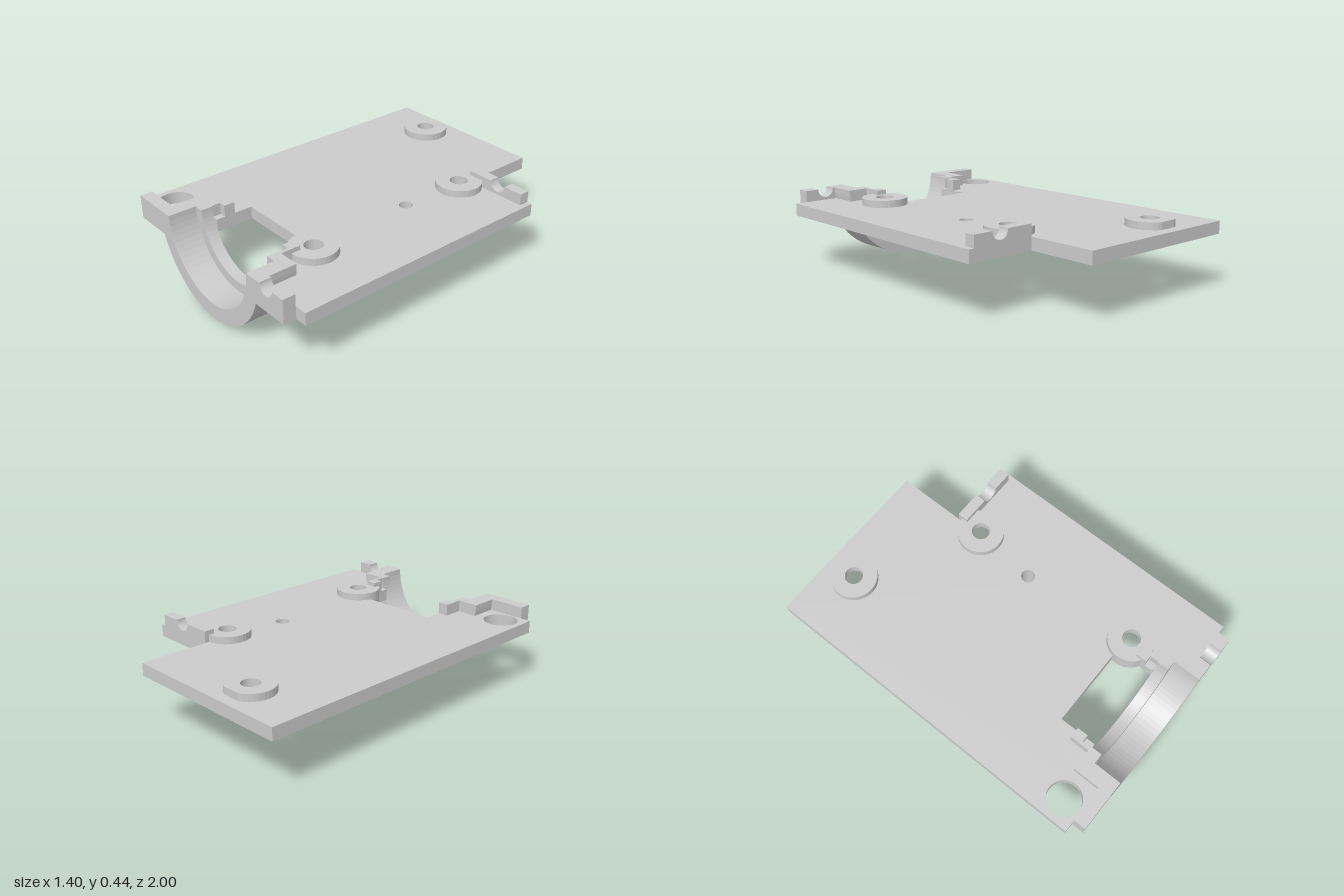
import * as THREE from 'three';

const TOP = 0.37, BASE = 0.30, RIM = 0.435;
const mat = new THREE.MeshStandardMaterial({ color: 0xcccccc, flatShading: true });

export function createModel() {
  const group = new THREE.Group();
  const add = (name, geo) => {
    const mesh = new THREE.Mesh(geo, mat);
    mesh.name = name;
    group.add(mesh);
    return mesh;
  };
  const polygon = (pts) => new THREE.Shape(pts.map(([x, y]) => new THREE.Vector2(x, y)));
  const circle = (x, y, r) => new THREE.Path().absarc(x, y, r, 0, Math.PI * 2, false);
  // outline in (x, z), extruded between two heights
  const slab = (shape, y0, y1) =>
    new THREE.ExtrudeGeometry(shape, { depth: y1 - y0, bevelEnabled: false, curveSegments: 32 })
      .rotateX(Math.PI / 2).translate(0, y1, 0);
  // outline in (x, y), extruded between two depths
  const wall = (shape, z0, z1) =>
    new THREE.ExtrudeGeometry(shape, { depth: z1 - z0, bevelEnabled: false, curveSegments: 18 })
      .translate(0, 0, z0);
  const lathe = (pts) => new THREE.LatheGeometry(pts.map(([r, y]) => new THREE.Vector2(r, y)), 32);

  // base plate with the rear corner notch, front opening and holes
  const plate = new THREE.Shape();
  plate.moveTo(-0.7, -1);
  plate.lineTo(0.3, -1);
  plate.lineTo(0.3, -0.605);
  plate.lineTo(0.7, -0.605);
  plate.lineTo(0.7, 0.925);
  plate.lineTo(0.415, 0.925);
  plate.lineTo(0.415, 0.77);
  plate.lineTo(0.255, 0.77);
  plate.lineTo(0.255, 0.681);
  plate.absarc(0.32, 0.58, 0.12, 2.143, -2.932, true); // seat of the front boss
  plate.lineTo(-0.255, 0.555);
  plate.lineTo(-0.255, 0.77);
  plate.lineTo(-0.415, 0.77);
  plate.lineTo(-0.415, 0.925);
  plate.lineTo(-0.7, 0.925);
  plate.closePath();
  plate.holes.push(
    circle(-0.34, -0.82, 0.12), circle(0.305, -0.45, 0.12),
    circle(0.27, -0.085, 0.038), circle(-0.575, 0.82, 0.095));
  add('basePlate', slab(plate, BASE, TOP));

  // screw bosses, counterbored from below
  for (const [x, z, flat] of [[-0.34, -0.82, true], [0.305, -0.45], [0.32, 0.58]]) {
    const geo = lathe([[0.085, BASE], [0.13, BASE], [0.13, 0.41], [0.05, 0.41],
      [0.05, 0.36], [0.085, 0.36], [0.085, BASE]]);
    if (flat) { // flat on the rear side
      const p = geo.attributes.position;
      for (let i = 0; i < p.count; i++) p.setZ(i, Math.max(p.getZ(i), -0.117));
    }
    add('screwBoss', geo).position.set(x, 0, z);
  }

  // stepped post under the plate
  add('lowerPost', lathe([[0.038, 0.165], [0.075, 0.165], [0.075, 0.238], [0.13, 0.238],
    [0.13, BASE], [0.038, BASE], [0.038, 0.165]])).position.set(0.27, 0, -0.085);

  // half-round cradle with a narrower rear lip
  const halfRing = (inner) => {
    const s = new THREE.Shape();
    s.absarc(0, RIM, 0.435, Math.PI, Math.PI * 2, false);
    s.absarc(0, RIM, inner, Math.PI * 2, Math.PI, true);
    s.closePath();
    return s;
  };
  add('cradleLip', wall(halfRing(0.29), 0.77, 0.835));
  add('cradle', wall(halfRing(0.347), 0.835, 0.995));

  // stepped walls behind the cradle
  for (const s of [-1, 1]) {
    add('cradleSideWall', slab(polygon([[0.255, 0.658], [0.315, 0.658], [0.315, 0.775],
      [0.295, 0.775], [0.295, 0.72], [0.255, 0.72]].map(([x, z]) => [s * x, z])), TOP, RIM));
  }

  // front and rear tabs, some with a half-round cable notch
  const tab = (x0, x1, y0, notchX) => {
    const s = new THREE.Shape();
    s.moveTo(x0, y0);
    s.lineTo(x1, y0);
    s.lineTo(x1, RIM);
    if (notchX) s.absarc(notchX, RIM, 0.05, 0, -Math.PI, true);
    s.lineTo(x0, RIM);
    s.closePath();
    return s;
  };
  add('frontLeftTab', wall(tab(0.414, 0.63, BASE, 0.5), 0.925, 0.995));
  add('frontRightTab', wall(tab(-0.64, -0.414, BASE), 0.925, 0.995));
  add('rearTab', wall(tab(0.3, 0.67, TOP, 0.505), -0.605, -0.545));

  return group;
}
